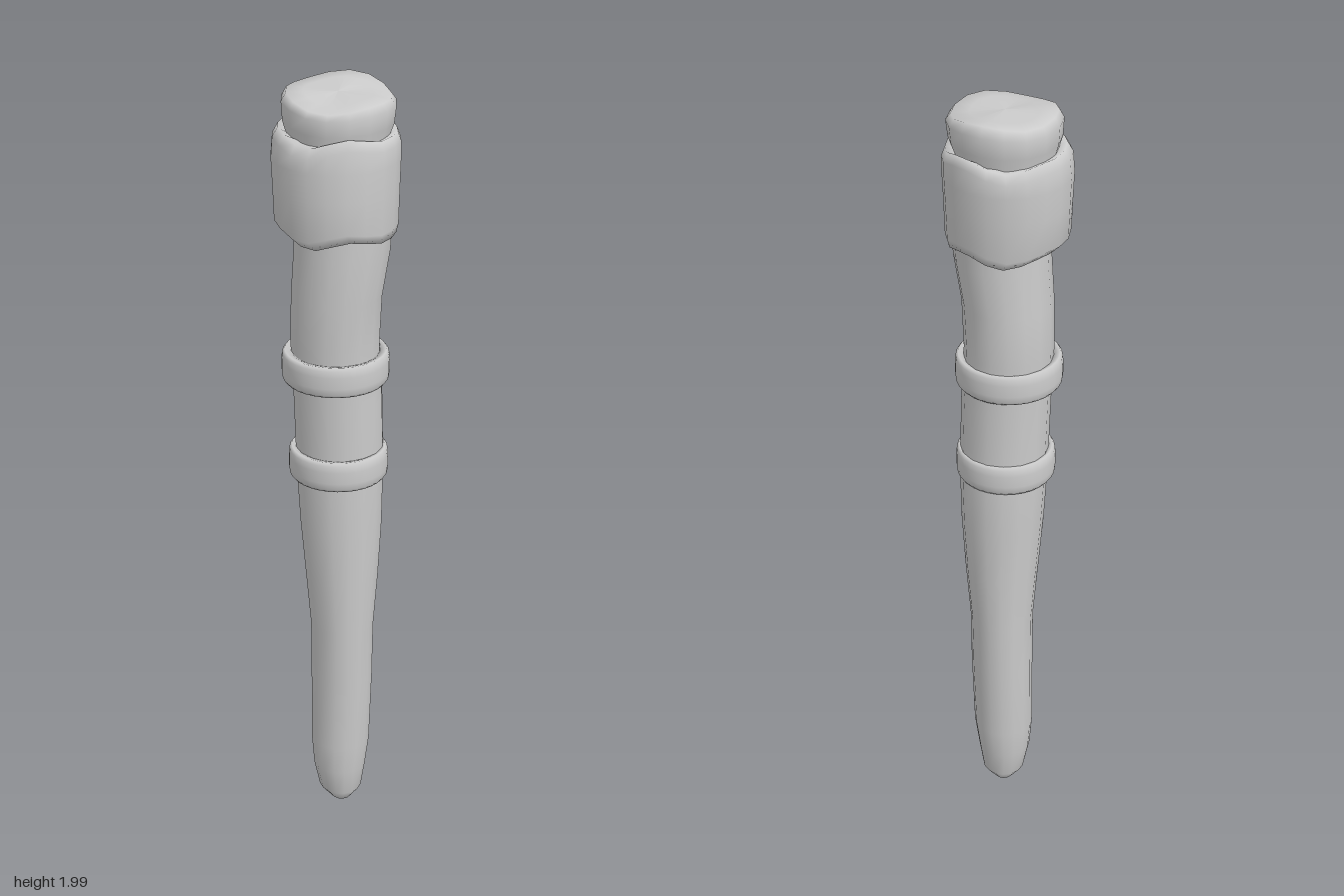
import * as THREE from 'three';

const material = new THREE.MeshStandardMaterial({ color: 0xcccccc, side: THREE.DoubleSide });

// Skins elliptical rings [y, xMin, xMax, zMin, zMax, ripple], listed from bottom to top.
// ripple scales the ragged height offset wave(angle).
function loft(name, rings, sides, wave = () => 0) {
  const positions = [], index = [];
  rings.forEach(([y, x0, x1, z0, z1, ripple = 0]) => {
    for (let i = 0; i < sides; i++) {
      const a = (i / sides) * Math.PI * 2;
      positions.push(
        (x0 + x1) / 2 + ((x1 - x0) / 2) * Math.sin(a),
        y + ripple * wave(a),
        (z0 + z1) / 2 + ((z1 - z0) / 2) * Math.cos(a));
    }
  });
  for (let r = 0; r < rings.length - 1; r++) {
    for (let i = 0; i < sides; i++) {
      const a = r * sides + i, b = r * sides + (i + 1) % sides;
      index.push(a, b, b + sides, a, b + sides, a + sides);
    }
  }
  const geometry = new THREE.BufferGeometry();
  geometry.setAttribute('position', new THREE.Float32BufferAttribute(positions, 3));
  geometry.setIndex(index);
  geometry.computeVertexNormals();
  const mesh = new THREE.Mesh(geometry, material);
  mesh.name = name;
  return mesh;
}

// Rounded band around the shaft
function band(name, y, x, z, radius) {
  const profile = [
    [-0.026, -0.036], [-0.008, -0.04], [-0.002, -0.032], [0, -0.015], [0, 0.015],
    [-0.002, 0.032], [-0.008, 0.04], [-0.026, 0.036], [-0.03, 0], [-0.026, -0.036],
  ].map(([r, h]) => new THREE.Vector2(radius + r, h));
  const mesh = new THREE.Mesh(new THREE.LatheGeometry(profile, 32), material);
  mesh.name = name;
  mesh.position.set(x, y, z);
  return mesh;
}

export function createModel() {
  const group = new THREE.Group();
  group.name = 'wrappedPeg';

  // Slightly crooked tapering shaft with a blunt tip
  group.add(loft('shaft', [
    [0.008, 0.01, 0.01, 0, 0],
    [0.022, -0.02, 0.04, -0.045, 0.045],
    [0.05, -0.045, 0.066, -0.065, 0.063],
    [0.12, -0.06, 0.077, -0.074, 0.073],
    [0.2, -0.066, 0.088, -0.085, 0.08],
    [0.4, -0.066, 0.095, -0.093, 0.088],
    [0.55, -0.067, 0.097, -0.097, 0.094],
    [0.7, -0.08, 0.109, -0.1, 0.099],
    [0.85, -0.093, 0.118, -0.105, 0.103],
    [1.0, -0.102, 0.121, -0.11, 0.107],
    [1.2, -0.109, 0.116, -0.103, 0.11],
    [1.35, -0.116, 0.108, -0.116, 0.118],
    [1.48, -0.115, 0.113, -0.113, 0.127],
    [1.6, -0.108, 0.132, -0.11, 0.131],
    [1.72, -0.105, 0.14, -0.11, 0.13],
  ], 16));

  group.add(band('lowerBand', 1.025, 0.004, 0.006, 0.126));
  group.add(band('upperBand', 1.29, -0.004, 0.01, 0.135));

  // Thick wrapping with ragged upper and lower edges
  const ragged = (a) => Math.sin(a * 3 + 1) * 0.6 + Math.sin(a * 5 + 2) * 0.4;
  group.add(loft('wrapping', [
    [1.67, -0.1, 0.13, -0.11, 0.12],
    [1.645, -0.128, 0.145, -0.138, 0.148, 0.014],
    [1.668, -0.154, 0.151, -0.151, 0.158, 0.014],
    [1.76, -0.157, 0.154, -0.158, 0.16],
    [1.83, -0.16, 0.157, -0.162, 0.158],
    [1.875, -0.156, 0.157, -0.16, 0.154, 0.015],
    [1.9, -0.142, 0.148, -0.15, 0.142, 0.015],
    [1.89, -0.115, 0.125, -0.12, 0.12],
  ], 20, ragged));

  // Head with an uneven rim that rises at the back
  const tilt = (a) => -0.6 * Math.cos(a) + 0.4 * Math.sin(a * 3);
  group.add(loft('head', [
    [1.82, -0.12, 0.125, -0.13, 0.125],
    [1.89, -0.122, 0.13, -0.135, 0.132],
    [1.92, -0.131, 0.141, -0.148, 0.141, 0.005],
    [1.965, -0.134, 0.146, -0.151, 0.144, 0.01],
    [1.984, -0.122, 0.134, -0.138, 0.131, 0.017],
    [1.987, -0.08, 0.09, -0.095, 0.085, 0.01],
    [1.988, 0.005, 0.005, -0.003, -0.003],
  ], 16, tilt));

  return group;
}
